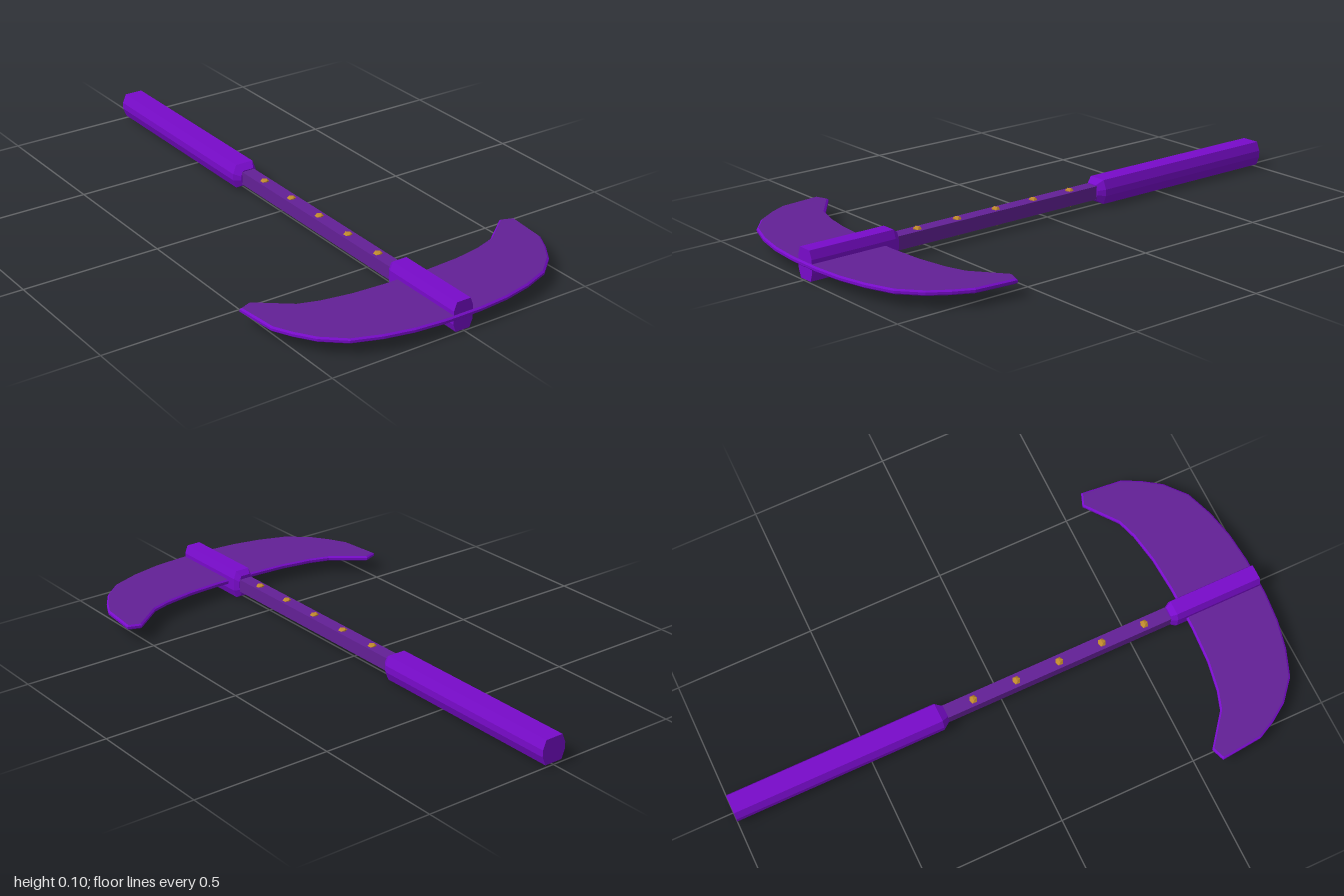
import * as THREE from 'three';

const MID = 0.053; // height of the tool's long axis

const mat = (name, color) => {
  const m = new THREE.MeshStandardMaterial({ color });
  m.name = name;
  return m;
};

// Closed shape from one half outline, mirrored across x = 0
function mirroredShape(half) {
  const pts = half.map(([x, y]) => new THREE.Vector2(x, y));
  const other = half.filter(([x]) => x > 0).reverse().map(([x, y]) => new THREE.Vector2(-x, y));
  return new THREE.Shape([...pts, ...other]);
}

// Eight-sided bar along z: full size between two stations, tapered at one end
function taperedBar(flat, width, shoulder, height, stations, scales) {
  const shape = mirroredShape([[flat, -height], [width, -shoulder], [width, shoulder], [flat, height]]);
  const geo = new THREE.ExtrudeGeometry(shape, { depth: 2, steps: 2, bevelEnabled: false });
  const p = geo.attributes.position;
  for (let i = 0; i < p.count; i++) {
    const k = Math.round(p.getZ(i));
    p.setXYZ(i, p.getX(i) * scales[k], p.getY(i) * scales[k], stations[k]);
  }
  geo.computeVertexNormals();
  return geo;
}

export function createModel() {
  const bright = mat('bright purple', 0x780bca);
  const dull = mat('dull purple', 0x632096);
  const gold = mat('gold', 0xc08a2c);

  const model = new THREE.Group();
  model.name = 'pickaxe';
  const add = (name, geo, material, x = 0, y = MID, z = 0) => {
    const mesh = new THREE.Mesh(geo, material);
    mesh.name = name;
    mesh.position.set(x, y, z);
    model.add(mesh);
    return mesh;
  };

  // Grip and head socket, each tapering onto the shaft
  add('grip', taperedBar(0.034, 0.047, 0.012, 0.044, [-1, -0.23, -0.205], [1, 1, 0.62]), bright);
  add('headSocket', taperedBar(0.027, 0.038, 0.023, 0.052, [0.65, 0.67, 0.993], [0.7, 1, 1]), bright);

  // Square shaft
  add('shaft', new THREE.BoxGeometry(0.05, 0.048, 0.88), dull, 0, MID, 0.23);

  // Crescent blade with a bright bevelled rim
  const outline = mirroredShape([
    [0, 0.705], [0.08, 0.705], [0.21, 0.697], [0.32, 0.678], [0.39, 0.655], [0.505, 0.565],
    [0.553, 0.583], [0.538, 0.735], [0.505, 0.8], [0.46, 0.866], [0.385, 0.93],
    [0.285, 0.967], [0.18, 0.99], [0.07, 1], [0, 1],
  ]);
  const blade = new THREE.ExtrudeGeometry(outline, {
    depth: 0.008, bevelEnabled: true, bevelSegments: 1,
    bevelThickness: 0.005, bevelSize: 0.006, bevelOffset: -0.006,
  });
  blade.translate(0, 0, -0.004);
  blade.rotateX(Math.PI / 2);
  add('blade', blade, [dull, bright]);

  // Gold studs on the top and underside of the shaft
  const studGeo = new THREE.IcosahedronGeometry(0.016, 0);
  studGeo.scale(1, 0.6, 1);
  for (let i = 0; i < 5; i++) {
    for (const side of [1, -1]) {
      add('stud', studGeo, gold, 0, MID + side * 0.024, -0.1 + i * 0.164);
    }
  }
  return model;
}
